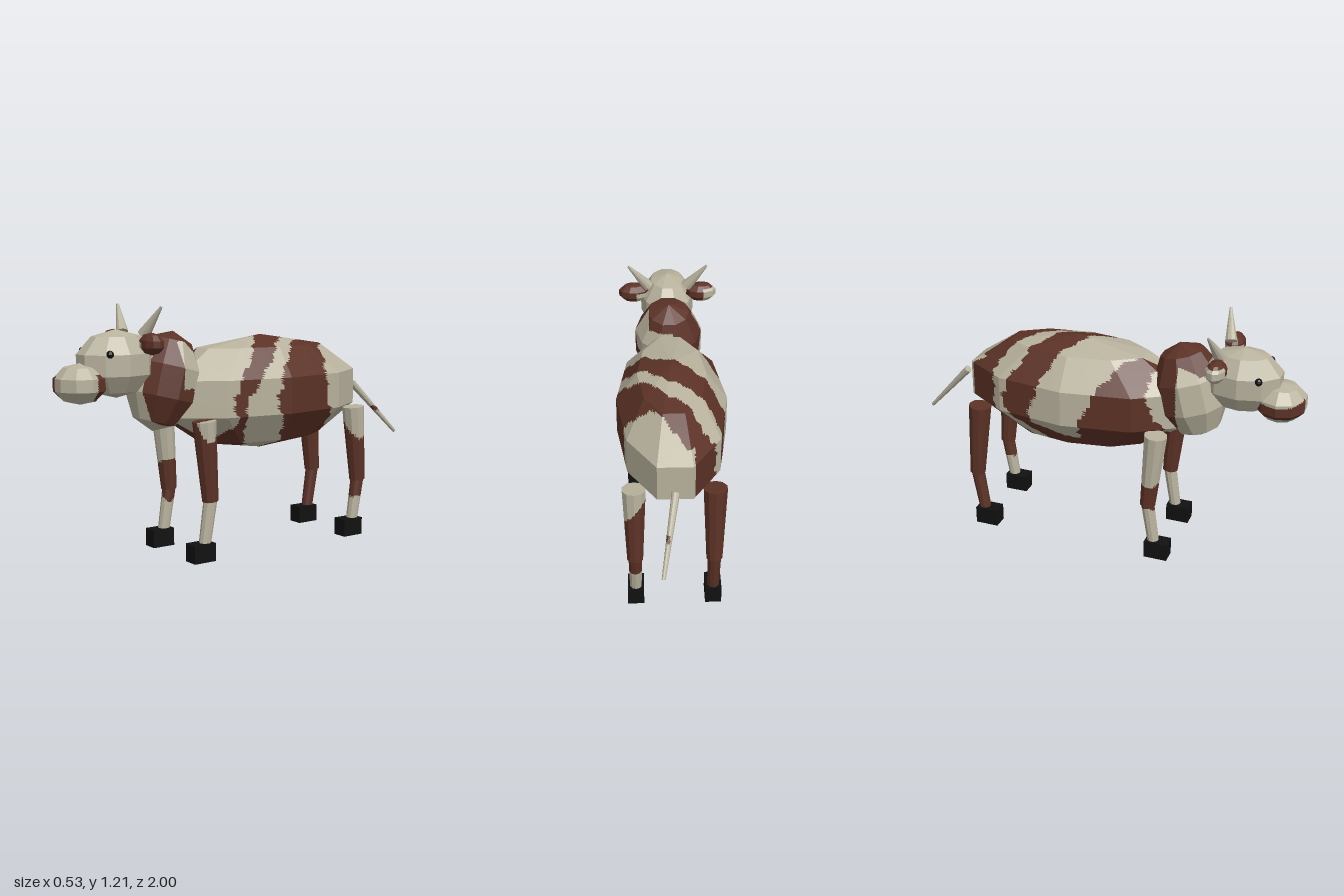
import * as THREE from 'three';

const mat = (name, color) => {
  const m = new THREE.MeshStandardMaterial({ color });
  m.name = name;
  return m;
};

// Splits every triangle into four, keeping the facets flat
function subdivide(tris) {
  const out = [];
  for (const [a, b, c] of tris) {
    const ab = a.clone().lerp(b, 0.5), bc = b.clone().lerp(c, 0.5), ca = c.clone().lerp(a, 0.5);
    out.push([a, ab, ca], [ab, b, bc], [ca, bc, c], [ab, bc, ca]);
  }
  return out;
}

// Faceted geometry with two material groups: plain hide, then patches
function patched(geometry, level, isPatch) {
  const pos = geometry.toNonIndexed().attributes.position;
  const corner = (i) => new THREE.Vector3().fromBufferAttribute(pos, i);
  let tris = [];
  for (let i = 0; i < pos.count; i += 3) tris.push([corner(i), corner(i + 1), corner(i + 2)]);
  for (let k = 0; k < level; k++) tris = subdivide(tris);
  const sets = [[], []];
  for (const t of tris) {
    const p = t[0].clone().add(t[1]).add(t[2]).divideScalar(3);
    sets[isPatch(p.x, p.y, p.z) ? 1 : 0].push(...t);
  }
  const g = new THREE.BufferGeometry().setFromPoints([...sets[0], ...sets[1]]);
  g.addGroup(0, sets[0].length, 0);
  g.addGroup(sets[0].length, sets[1].length, 1);
  g.computeVertexNormals();
  return g;
}

// Ten-sided ellipsoid
function blob(center, radii, tilt = 0) {
  return new THREE.SphereGeometry(1, 10, 5).scale(...radii).rotateX(tilt).translate(...center);
}

// Tapered cylinder from point a to point b
function limb(a, b, ra, rb, rows = 1) {
  const A = new THREE.Vector3(...a), B = new THREE.Vector3(...b);
  const dir = B.clone().sub(A);
  const g = new THREE.CylinderGeometry(rb, ra, dir.length(), 10, rows);
  g.applyQuaternion(new THREE.Quaternion().setFromUnitVectors(
    new THREE.Vector3(0, 1, 0), dir.clone().normalize()));
  const mid = A.add(B).multiplyScalar(0.5);
  return g.translate(mid.x, mid.y, mid.z);
}

// Diagonal bands round the barrel: [angle from the spine, rear z, front z]
const bands = [
  [[-180, -0.5, -0.1], [-120, -0.7, -0.5], [-90, -0.7, -0.5], [-45, -0.68, -0.5], [0, -0.54, -0.36],
    [20, -0.43, -0.25], [60, -0.37, -0.1], [90, -0.37, -0.04], [120, -0.41, -0.09],
    [150, -0.45, -0.14], [180, -0.5, -0.1]],
  [[-180, 0, 0.4], [-150, -0.2, 0.3], [-120, -0.4, -0.3], [-90, -0.45, -0.28], [-45, -0.36, -0.2],
    [0, -0.25, -0.07], [20, -0.16, -0.02], [60, 0, 0.12], [90, 0.11, 0.19], [120, 0.12, 0.16],
    [150, 0.07, 0.2], [180, 0, 0.4]],
  [[-180, 0, 0.4], [-120, -0.05, 0.35], [-90, 0, 0.3], [-45, 0.1, 0.27], [-15, 0.2, 0.3], [0, 0.3, 0.3]],
];

function bodyPatch(x, y, z) {
  if (z < -0.55 && x > -0.09 && y < 0.9) return false;
  const t = THREE.MathUtils.radToDeg(Math.atan2(x, y - 0.765));
  const w = 0.008 * Math.sin(t * 0.17) + 0.006 * Math.sin(t * 0.41);
  return bands.some((rows) => {
    const i = rows.findIndex((r, k) => k > 0 && r[0] >= t);
    if (i < 1) return false;
    const a = rows[i - 1], b = rows[i], f = (t - a[0]) / (b[0] - a[0]);
    return z + w > a[1] + (b[1] - a[1]) * f && z + w < a[2] + (b[2] - a[2]) * f;
  });
}

const neckPatch = (x, y, z) =>
  (x > 0.08 && z > 0.43) ||
  (x > 0.08 && y < 0.82 && z > 0.36) ||
  (y > 0.97 && x > -0.12 && x < 0.1 && z < 0.55) ||
  (x < -0.02 && z < 0.42);

const muzzlePatch = (x, y, z) =>
  (x > 0.03 && z < 0.855 && y < 0.91) ||
  (x < -0.02 && y < 0.885 + 0.25 * (x + 0.09) && y > 0.81);

export function createModel() {
  const cow = new THREE.Group();
  cow.name = 'cow';
  const cream = mat('cream', 0xb8b29d);
  const brown = mat('brown', 0x5c3226);
  const black = mat('black', 0x111111);
  const hide = [cream, brown];

  const add = (name, geometry, material) => {
    const mesh = new THREE.Mesh(geometry, material);
    mesh.name = name;
    cow.add(mesh);
  };
  const addHide = (name, geometry, level, isPatch) =>
    add(name, patched(geometry, level, isPatch), hide);
  const addPlain = (name, geometry, material) => {
    const g = geometry.toNonIndexed();
    g.computeVertexNormals();
    add(name, g, material);
  };

  // Trunk and head
  addHide('body', blob([0, 0.765, -0.12], [0.279, 0.285, 0.608]), 4, bodyPatch);
  addHide('neck', blob([0, 0.85, 0.45], [0.178, 0.242, 0.18], -0.25), 4, neckPatch);
  addPlain('head', blob([0, 0.945, 0.7], [0.144, 0.158, 0.2]), cream);
  addHide('muzzle', blob([0, 0.863, 0.885], [0.135, 0.094, 0.127]), 3, muzzlePatch);

  // Paired face parts
  for (const s of [1, -1]) {
    const side = s > 0 ? 'left' : 'right';
    addPlain(side + 'Eye', new THREE.SphereGeometry(0.018, 8, 6).translate(s * 0.132, 1, 0.8), black);
    addHide(side + 'Ear', blob([s * 0.175, 1.042, 0.612], [0.08, 0.051, 0.05]), 3,
      s > 0 ? (x, y) => x > 0.16 || y > 1.05 : (x, y) => x > -0.185 || y > 1.07);
    addPlain(side + 'Horn', limb([s * 0.1, 1.08, 0.608], [s * 0.2, 1.208, 0.574], 0.03, 0.006), cream);
  }

  // Legs: x, hoof z, patch rule for each
  const legs = [
    ['frontLeft', 1, 0.36, (x, y) => y > 0.287 && y < 0.56 - 2.5 * (x - 0.24)],
    ['frontRight', -1, 0.36, (x, y) => y < 0.42 + 0.5 * (x + 0.187) && y > 0.25 - 0.8 * (x + 0.187)],
    ['backLeft', 1, -0.56, (x, y) => y < 0.56 - 1.2 * (x - 0.19) && y > 0.2],
    ['backRight', -1, -0.56, () => true],
  ];
  for (const [name, s, z, rule] of legs) {
    const x = s * 0.186;
    addHide(name + 'UpperLeg', limb([x, 0.285, z - 0.055], [x, 0.67, z - 0.022], 0.039, 0.057, 5), 2, rule);
    addHide(name + 'LowerLeg', limb([x, 0.08, z - 0.022], [x, 0.29, z - 0.055], 0.029, 0.033, 3), 2, rule);
    add(name + 'Hoof', new THREE.BoxGeometry(0.078, 0.088, 0.118).translate(x, 0.044, z), black);
  }

  // Tail
  addHide('tail', limb([0, 0.765, -0.735], [0.061, 0.49, -0.992], 0.019, 0.009, 10), 1,
    (x, y) => x > 0.03 && Math.abs(y - 0.625) < 0.012);
  return cow;
}
